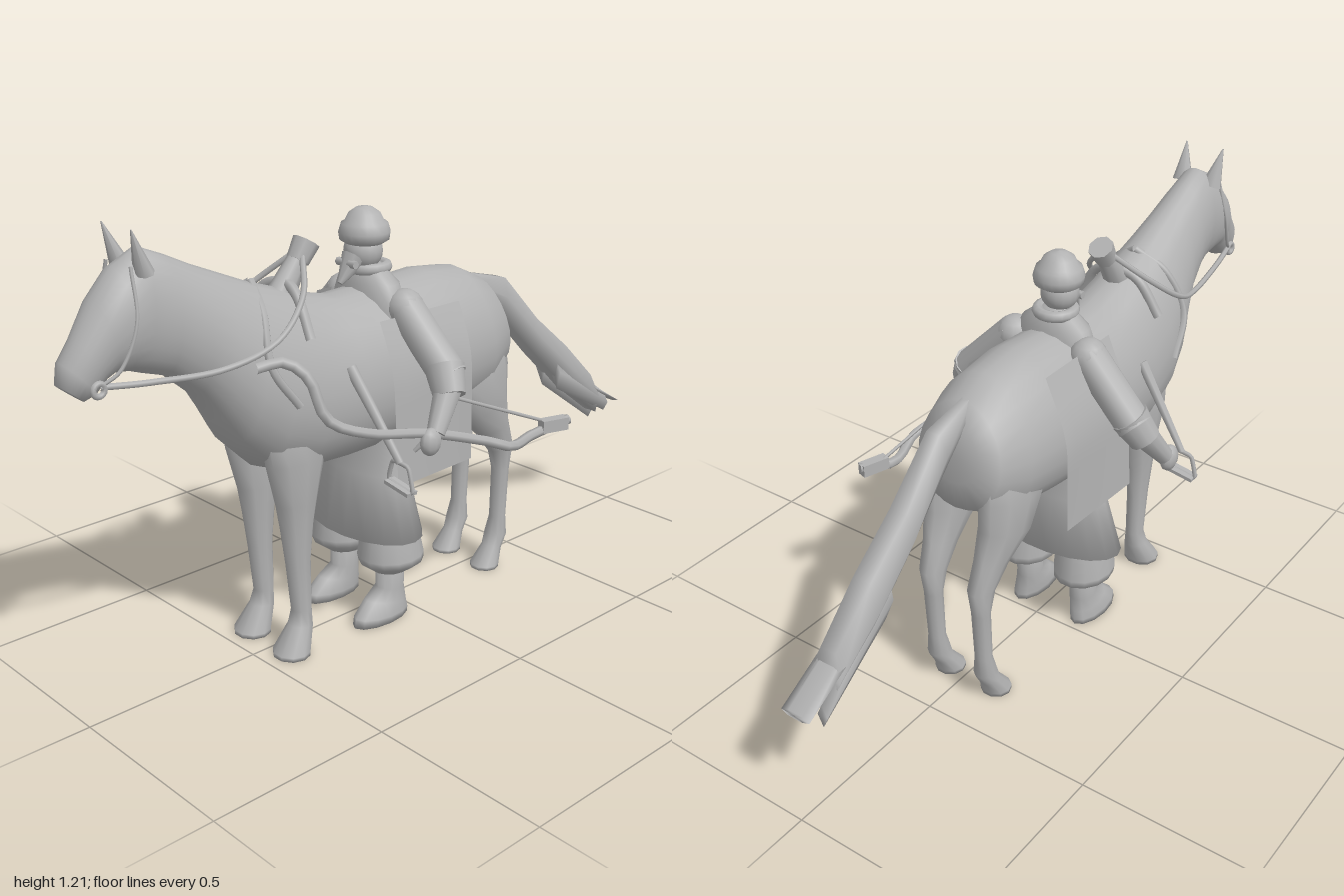
import * as THREE from 'three';

const material = new THREE.MeshStandardMaterial({ color: 0xb2b2b2 });
material.name = 'plain grey';
const sheet = new THREE.MeshStandardMaterial({ color: 0xb2b2b2, side: THREE.DoubleSide });
sheet.name = 'plain grey sheet';
const V = (x, y, z) => new THREE.Vector3(x, y, z);

// Skin of rings: each row is [z1, y1, z2, y2, halfWidth, centreX, pear]; pear widens the second edge
function loft(rows, n = 20, side = 1) {
  const pos = [], idx = [];
  for (const [z1, y1, z2, y2, w, cx = 0, pear = 0] of rows) {
    for (let i = 0; i < n; i++) {
      const a = (i / n) * Math.PI * 2, s = Math.sin(a) / 2;
      pos.push(cx * side + w * Math.cos(a) * (1 - 2 * pear * s), (y1 + y2) / 2 + (y1 - y2) * s, (z1 + z2) / 2 + (z1 - z2) * s);
    }
  }
  for (let r = 0; r < rows.length - 1; r++) {
    for (let i = 0; i < n; i++) {
      const a = r * n + i, b = r * n + (i + 1) % n;
      idx.push(a, b, a + n, b, b + n, a + n);
    }
  }
  // End caps
  for (const r of [0, rows.length - 1]) {
    const [z1, y1, z2, y2, , cx = 0] = rows[r];
    const c = pos.length / 3;
    pos.push(cx * side, (y1 + y2) / 2, (z1 + z2) / 2);
    for (let i = 0; i < n; i++) {
      const a = r * n + i, b = r * n + (i + 1) % n;
      if (r === 0) idx.push(c, b, a); else idx.push(c, a, b);
    }
  }
  const g = new THREE.BufferGeometry();
  g.setAttribute('position', new THREE.Float32BufferAttribute(pos, 3));
  g.setIndex(idx);
  g.computeVertexNormals();
  return g;
}

export function createModel() {
  const model = new THREE.Group();
  const body = new THREE.Group();
  body.name = 'horseAndRider';
  body.position.x = -0.02;
  model.add(body);

  const add = (name, geo, x = 0, y = 0, z = 0, mat = material) => {
    const m = new THREE.Mesh(geo, mat);
    m.name = name;
    m.position.set(x, y, z);
    body.add(m);
    return m;
  };
  const rod = (name, a, b, ra, rb, n = 10) => {
    const d = b.clone().sub(a), c = a.clone().add(b).multiplyScalar(0.5);
    const m = add(name, new THREE.CylinderGeometry(rb, ra, d.length(), n), c.x, c.y, c.z);
    m.quaternion.setFromUnitVectors(V(0, 1, 0), d.normalize());
    return m;
  };
  const tube = (name, pts, r, closed = false, tension = 0.5) => add(name, new THREE.TubeGeometry(
    new THREE.CatmullRomCurve3(pts, closed, 'catmullrom', tension), 32, r, 6, closed));

  // Horse trunk, neck and head in one skin
  add('horseBody', loft([
    [-0.375, 0.84, -0.394, 0.68, 0.075, 0, 0.05], [-0.335, 0.89, -0.385, 0.60, 0.13, 0, 0.1],
    [-0.25, 0.93, -0.29, 0.54, 0.162, 0, 0.1], [-0.12, 0.945, -0.14, 0.515, 0.175, 0, 0.1],
    [0.05, 0.935, 0.05, 0.49, 0.176, 0, 0.1], [0.2, 0.93, 0.22, 0.485, 0.17, 0, 0.1],
    [0.3, 0.955, 0.36, 0.49, 0.162, 0, 0.12], [0.4, 0.99, 0.47, 0.53, 0.152, 0, 0.14],
    [0.47, 1.015, 0.55, 0.61, 0.136, 0, 0.14], [0.55, 1.05, 0.59, 0.68, 0.115, 0, 0.12],
    [0.63, 1.085, 0.64, 0.76, 0.096, 0, 0.08], [0.7, 1.12, 0.72, 0.83, 0.083, 0, 0.05],
    [0.77, 1.15, 0.78, 0.85, 0.075], [0.84, 1.115, 0.82, 0.865, 0.078],
    [0.9, 1.05, 0.86, 0.87, 0.07], [0.955, 0.965, 0.88, 0.86, 0.055],
    [0.99, 0.92, 0.91, 0.83, 0.049], [1.0, 0.87, 0.94, 0.82, 0.036]], 24));

  // Tail and its ragged ends
  add('tail', loft([
    [-0.33, 0.84, -0.31, 0.9, 0.02], [-0.44, 0.74, -0.46, 0.865, 0.04],
    [-0.6, 0.58, -0.6, 0.715, 0.052], [-0.76, 0.43, -0.74, 0.6, 0.055],
    [-0.91, 0.32, -0.87, 0.475, 0.048]], 6));
  [-0.03, 0.03].forEach((x, i) => add('tailStrand', loft([
    [-0.7, 0.46, -0.68, 0.58, 0.02, x], [-0.94, 0.29 + 0.04 * i, -0.94, 0.36 + 0.03 * i, 0.016, x]], 4)));
  add('tailTip', loft([[-0.8, 0.45, -0.79, 0.49, 0.045], [-1, 0.345, -0.995, 0.36, 0.045]], 6));

  for (const s of [1, -1]) {
    // Horse legs
    add('hindLeg', loft([
      [-0.18, 0.8, -0.32, 0.82, 0.03, 0.07], [-0.16, 0.7, -0.375, 0.72, 0.055, 0.085],
      [-0.15, 0.6, -0.385, 0.64, 0.063, 0.09],
      [-0.21, 0.5, -0.385, 0.55, 0.057, 0.09], [-0.29, 0.43, -0.405, 0.46, 0.04, 0.084],
      [-0.345, 0.365, -0.432, 0.38, 0.033, 0.08], [-0.365, 0.3, -0.418, 0.3, 0.026, 0.08],
      [-0.36, 0.15, -0.41, 0.15, 0.024, 0.08], [-0.345, 0.1, -0.412, 0.09, 0.032, 0.08],
      [-0.335, 0.065, -0.39, 0.05, 0.03, 0.08], [-0.29, 0.01, -0.375, 0.01, 0.043, 0.08],
      [-0.29, 0, -0.375, 0, 0.043, 0.08]], 10, s));
    add('frontLeg', loft([
      [0.5, 0.7, 0.3, 0.68, 0.045, 0.085], [0.48, 0.55, 0.3, 0.55, 0.052, 0.083],
      [0.45, 0.43, 0.325, 0.43, 0.041, 0.08], [0.438, 0.36, 0.34, 0.36, 0.037, 0.08],
      [0.425, 0.26, 0.35, 0.26, 0.029, 0.08], [0.41, 0.12, 0.35, 0.12, 0.026, 0.08],
      [0.42, 0.08, 0.352, 0.075, 0.034, 0.082], [0.47, 0.012, 0.37, 0.01, 0.053, 0.084],
      [0.47, 0, 0.37, 0, 0.053, 0.084]], 10, s));
    // Ears
    const ear = rod('ear', V(s * 0.048, 1.1, 0.785), V(s * 0.06, 1.205, 0.82), 0.032, 0.002, 7);
    ear.scale.z = 0.7;

    // Reins, cheek strap and bit ring
    tube('rein', [V(s * 0.05, 0.86, 0.92), V(s * 0.075, 0.85, 0.8), V(s * 0.105, 0.845, 0.62),
      V(s * 0.135, 0.89, 0.48), V(s * 0.1, 0.97, 0.37), V(s * 0.02, 1.05, 0.3)], 0.008);
    tube('cheekStrap', [V(s * 0.05, 1.12, 0.82), V(s * 0.078, 1.0, 0.83), V(s * 0.07, 0.9, 0.87), V(s * 0.05, 0.86, 0.92)], 0.005);
    add('bitRing', new THREE.TorusGeometry(0.015, 0.008, 6, 14), s * 0.053, 0.855, 0.925).rotation.y = Math.PI / 2;
    tube('breastStrap', [V(0, 1.01, 0.45), V(s * 0.085, 0.95, 0.48), V(s * 0.138, 0.83, 0.5), V(s * 0.155, 0.72, 0.43)], 0.011);

    // Saddle flap following the flank, its lower front corner standing off
    const flap = new THREE.PlaneGeometry(0.29, 0.44, 6, 10);
    const p = flap.attributes.position;
    for (let i = 0; i < p.count; i++) {
      const z = p.getX(i), y = p.getY(i) + (s > 0 ? 0.65 : 0.685), low = Math.max(0, 0.72 - y);
      const curve = Math.sin(THREE.MathUtils.clamp((0.9 - y) / 0.22, 0, 1) * Math.PI / 2);
      p.setXYZ(i, s * (0.115 + 0.07 * curve + low * (0.03 + 0.15 * z)), y, z - 0.005);
    }
    flap.computeVertexNormals();
    add('saddleFlap', flap, 0, 0, 0, sheet);

    // Stirrup on a strap swung outwards
    rod('stirrupStrap', V(s * 0.15, 0.78, 0.26), V(s * 0.305, 0.56, 0.235), 0.016, 0.01, 6);
    tube('stirrup', [V(s * 0.28, 0.56, 0.235), V(s * 0.335, 0.555, 0.235), V(s * 0.35, 0.49, 0.235),
      V(s * 0.265, 0.505, 0.235)], 0.006, true, 0.15);
    add('stirrupTread', new THREE.BoxGeometry(0.085, 0.01, 0.035), s * 0.307, 0.495, 0.235).rotation.z = -s * 0.16;

    // Rider arm
    add('shoulder', new THREE.SphereGeometry(0.052, 12, 8), s * 0.118, 0.885, 0.04);
    rod('sleeve', V(s * 0.115, 0.89, 0.04), V(s * 0.275, 0.73, 0.03), 0.05, 0.049, 12);
    rod('cuff', V(s * 0.255, 0.755, 0.03), V(s * 0.295, 0.69, 0.05), 0.053, 0.043, 12);
    rod('forearm', V(s * 0.285, 0.71, 0.045), V(s * 0.315, 0.61, 0.12), 0.038, 0.025);
    const hand = add('hand', new THREE.SphereGeometry(0.03, 10, 8), s * 0.318, 0.595, 0.14);
    hand.scale.set(0.75, 1.25, 1.1);
    rod('thumb', V(s * 0.31, 0.6, 0.15), V(s * 0.29, 0.57, 0.17), 0.01, 0.006, 6);

    // Baggy trouser leg and boot
    add('trouserLeg', loft([
      [0.13, 0.36, 0.01, 0.36, 0.065, 0.09], [0.155, 0.26, -0.01, 0.26, 0.076, 0.095],
      [0.17, 0.19, -0.025, 0.185, 0.086, 0.098], [0.165, 0.17, -0.025, 0.165, 0.084, 0.098],
      [0.125, 0.14, 0.02, 0.14, 0.05, 0.095]], 14, s));
    add('boot', loft([
      [0.115, 0.17, 0.03, 0.17, 0.04, 0.095], [0.115, 0.09, 0.03, 0.08, 0.037, 0.095],
      [0.16, 0.065, 0.025, 0.04, 0.043, 0.098], [0.205, 0.025, 0.02, 0.015, 0.046, 0.102],
      [0.21, 0, 0.02, 0, 0.045, 0.102]], 12, s));
  }

  // Saddle pommel and front arch
  rod('pommel', V(0, 0.94, 0.37), V(0, 1.06, 0.285), 0.04, 0.024, 8);
  rod('pommelHead', V(0, 1.035, 0.3), V(0, 1.08, 0.27), 0.03, 0.036, 8);
  tube('saddleArch', [V(-0.13, 0.87, 0.37), V(-0.07, 0.965, 0.36), V(0, 0.99, 0.35), V(0.07, 0.965, 0.36), V(0.13, 0.87, 0.37)], 0.014);

  // Rider coat
  add('coat', loft([
    [0.095, 0.99, 0.03, 0.99, 0.045], [0.12, 0.945, 0.0, 0.945, 0.102], [0.125, 0.87, 0.0, 0.87, 0.132],
    [0.13, 0.6, 0.0, 0.6, 0.135], [0.155, 0.43, 0.0, 0.43, 0.155], [0.19, 0.25, -0.03, 0.26, 0.205]], 18));

  // Rider head, beard and fur hat
  add('head', new THREE.SphereGeometry(0.052, 16, 12), 0, 1.025, 0.078);
  add('collar', new THREE.TorusGeometry(0.048, 0.016, 8, 18), 0, 0.98, 0.06).rotation.x = Math.PI / 2;
  rod('beard', V(0, 1.01, 0.11), V(0, 0.95, 0.16), 0.035, 0.008, 8);
  rod('moustache', V(-0.035, 1.0, 0.135), V(0.035, 1.0, 0.135), 0.011, 0.011, 6);
  add('hat', new THREE.LatheGeometry([[0, 1.045], [0.05, 1.045], [0.066, 1.055], [0.069, 1.075], [0.062, 1.098],
    [0.052, 1.104], [0.042, 1.124], [0.022, 1.138], [0, 1.142]].map(([x, y]) => new THREE.Vector2(x, y)), 20), 0, 0, 0.073);

  // Recurved bow and its string, held at the left hand
  tube('bow', [V(0.14, 0.84, 0.55), V(0.16, 0.845, 0.48), V(0.2, 0.8, 0.435), V(0.235, 0.7, 0.41), V(0.275, 0.65, 0.31),
    V(0.31, 0.615, 0.14), V(0.355, 0.565, -0.02), V(0.38, 0.535, -0.1), V(0.345, 0.525, -0.22), V(0.375, 0.55, -0.335)], 0.014);
  rod('bowString', V(0.26, 0.7, 0.08), V(0.355, 0.54, -0.3), 0.005, 0.005, 5);
  const tip = add('bowTip', new THREE.BoxGeometry(0.03, 0.035, 0.08), 0.36, 0.542, -0.29);
  tip.rotation.y = -0.3;

  return model;
}
